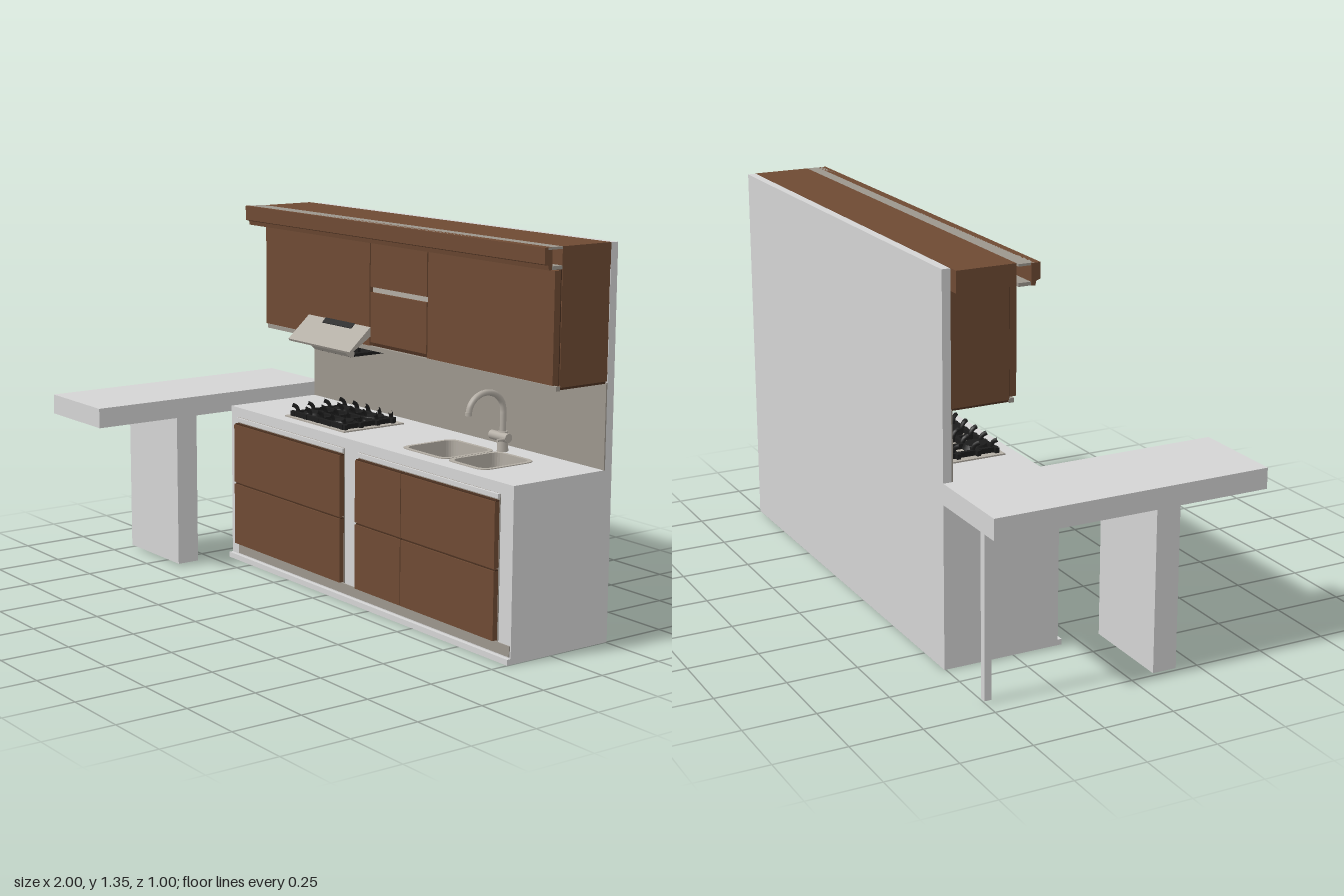
import * as THREE from 'three';

const mat = (name, color) => {
  const m = new THREE.MeshStandardMaterial({ color });
  m.name = name;
  return m;
};

export function createModel() {
  const root = new THREE.Group();
  root.name = 'kitchen';
  const white = mat('white', 0xd4d4d4);
  const brown = mat('brown wood', 0x6e4a33);
  const darkBrown = mat('dark wood', 0x4a3020);
  const taupe = mat('taupe', 0x9c968d);
  const steel = mat('steel', 0xb2aca3);
  const black = mat('black iron', 0x1c1c1c);

  const add = (name, geo, material, parent = root) => {
    const m = new THREE.Mesh(geo, material);
    m.name = name;
    parent.add(m);
    return m;
  };
  // Box given by its limits on each axis
  const box = (name, material, x0, x1, y0, y1, z0, z1, parent) => {
    const m = add(name, new THREE.BoxGeometry(x1 - x0, y1 - y0, z1 - z0), material, parent);
    m.position.set((x0 + x1) / 2, (y0 + y1) / 2, (z0 + z1) / 2);
    return m;
  };
  // Rounded rectangle in plan, drawn with shape y = -z
  const roundRect = (x0, x1, z0, z1, r, S = THREE.Path) => {
    const a = -z1, b = -z0, p = new S();
    p.moveTo(x0 + r, a).lineTo(x1 - r, a).quadraticCurveTo(x1, a, x1, a + r);
    p.lineTo(x1, b - r).quadraticCurveTo(x1, b, x1 - r, b);
    p.lineTo(x0 + r, b).quadraticCurveTo(x0, b, x0, b - r);
    p.lineTo(x0, a + r).quadraticCurveTo(x0, a, x0 + r, a);
    return p;
  };
  // Plan shape raised from y0 to y1
  const slab = (name, material, shape, y0, y1) => {
    const g = new THREE.ExtrudeGeometry(shape, { depth: y1 - y0, bevelEnabled: false, curveSegments: 6 });
    g.rotateX(-Math.PI / 2);
    add(name, g, material).position.y = y0;
  };
  // Side profile of [z, y] points extruded along x
  const profile = (name, material, pts, x0, x1) => {
    const s = new THREE.Shape(pts.map(([z, y]) => new THREE.Vector2(-z, y)));
    const g = new THREE.ExtrudeGeometry(s, { depth: x1 - x0, bevelEnabled: false });
    g.rotateY(Math.PI / 2);
    add(name, g, material).position.x = x0;
  };

  // Wall and backsplash
  box('backWall', white, -0.65, 1, 0, 1.352, -0.505, -0.475);
  box('backsplash', taupe, -0.65, 1, 0.597, 0.89, -0.475, -0.47);

  // Base cabinet with sink cut-outs in the worktop
  box('baseCabinet', white, -0.65, 1, 0, 0.47, -0.475, -0.08);
  box('plinthLip', white, -0.65, 1, 0, 0.02, -0.08, -0.065);
  box('kickStrip', taupe, -0.6, 0.995, 0.025, 0.062, -0.08, -0.076);
  const basins = [[0.33, 0.565], [0.58, 0.77]];
  const top = new THREE.Shape();
  top.moveTo(-0.65, 0.08).lineTo(1, 0.08).lineTo(1, 0.475).lineTo(-0.65, 0.475);
  basins.forEach(([a, b]) => top.holes.push(roundRect(a, b, -0.37, -0.145, 0.04)));
  slab('worktop', white, top, 0.47, 0.597);
  basins.forEach(([a, b]) => {
    const rim = roundRect(a - 0.006, b + 0.006, -0.376, -0.139, 0.045, THREE.Shape);
    rim.holes.push(roundRect(a + 0.008, b - 0.008, -0.362, -0.153, 0.038));
    slab('sinkBasin', steel, rim, 0.475, 0.6);
    slab('sinkFloor', steel, roundRect(a, b, -0.37, -0.145, 0.04, THREE.Shape), 0.471, 0.48);
    const drain = add('drain', new THREE.CylinderGeometry(0.018, 0.018, 0.004, 16), taupe);
    drain.position.set((a + b) / 2, 0.482, -0.26);
  });

  // Drawer fronts
  [[-0.6, 0.088, []], [0.175, 0.937, [0.44]]].forEach(([x0, x1, splits]) => {
    box('drawerFrame', taupe, x0, x1, 0.064, 0.56, -0.08, -0.076);
    box('frameTop', white, x0, x1, 0.545, 0.56, -0.08, -0.068);
    const xs = [x0, ...splits, x1];
    for (let i = 0; i < xs.length - 1; i++) {
      [[0.068, 0.303], [0.311, 0.535]].forEach(([y0, y1]) => {
        box('drawerFront', brown, xs[i] + 0.002, xs[i + 1] - 0.002, y0, y1, -0.078, -0.057);
        box('drawerPull', darkBrown, xs[i] + 0.002, xs[i + 1] - 0.002, y1, y1 + 0.004, -0.078, -0.062);
      });
    }
  });

  // Side table with panel leg and thin post
  box('tableTop', white, -1, -0.65, 0.577, 0.65, -0.505, 0.5);
  box('tableLeg', white, -1, -0.65, 0.008, 0.577, 0.08, 0.167);
  box('tablePost', white, -0.93, -0.905, 0.008, 0.577, -0.502, -0.477);

  // Wall cabinet
  box('wallCabinet', brown, -0.65, 0.998, 0.895, 1.28, -0.475, -0.268);
  box('cabinetFloor', darkBrown, -0.645, 0.995, 0.887, 0.895, -0.47, -0.268);
  box('lowerRail', taupe, -0.65, 1, 0.885, 0.9, -0.268, -0.25);
  box('doorGap', darkBrown, -0.645, 0.995, 0.9, 1.278, -0.268, -0.264);
  box('middleRail', steel, 0.02, 0.342, 1.098, 1.118, -0.264, -0.25);
  [[-0.645, 0.014, 0.904, 1.275], [0.02, 0.342, 0.918, 1.098],
    [0.02, 0.342, 1.118, 1.275], [0.348, 0.994, 0.904, 1.275]].forEach(([a, b, c, d]) =>
    box('cabinetDoor', brown, a, b, c, d, -0.264, -0.24));

  // Cornice: solid rear box and a hollow front valance
  box('corniceBox', brown, -0.69, 1, 1.28, 1.353, -0.475, -0.265);
  box('corniceTop', taupe, -0.705, 1, 1.345, 1.353, -0.265, -0.205);
  box('corniceBottom', taupe, -0.705, 1, 1.28, 1.292, -0.265, -0.22);
  profile('corniceFront', brown,
    [[-0.222, 1.28], [-0.208, 1.28], [-0.205, 1.295], [-0.19, 1.3], [-0.19, 1.353], [-0.222, 1.353]], -0.71, 1);

  // Extractor hood
  profile('hoodPanel', steel,
    [[-0.145, 0.89], [-0.15, 0.882], [-0.25, 0.945], [-0.25, 0.972], [-0.238, 0.972]], -0.36, 0.022);
  profile('hoodSlot', black,
    [[-0.2205, 0.9585], [-0.2205, 0.9545], [-0.2365, 0.969], [-0.237, 0.9745]], -0.25, -0.07);
  profile('hoodLip', steel,
    [[-0.165, 0.892], [-0.172, 0.896], [-0.23, 0.87], [-0.225, 0.852], [-0.205, 0.856]], -0.275, -0.06);
  box('hoodFilter', black, -0.27, -0.065, 0.853, 0.864, -0.39, -0.215);
  box('hoodHanger', black, -0.25, -0.085, 0.864, 0.888, -0.275, -0.262);

  // Cooktop with burners, grates and curved prongs
  const hob = new THREE.Group();
  hob.name = 'cooktop';
  root.add(hob);
  box('hobPlate', steel, -0.36, 0.015, 0.597, 0.602, -0.4, -0.128, hob);
  const xs = [-0.325, -0.245, -0.17, -0.095, -0.02];
  const zs = [-0.15, -0.22, -0.295, -0.365];
  xs.forEach(x => box('grateBar', black, x - 0.007, x + 0.007, 0.602, 0.62, -0.385, -0.14, hob));
  zs.forEach(z => box('grateBar', black, -0.345, 0, 0.602, 0.62, z - 0.007, z + 0.007, hob));
  for (const x of [-0.265, -0.08]) {
    for (const z of [-0.195, -0.33]) {
      const cap = add('burner', new THREE.CylinderGeometry(0.038, 0.046, 0.018, 20), black, hob);
      cap.position.set(x, 0.613, z);
    }
  }
  const prong = new THREE.TubeGeometry(new THREE.CatmullRomCurve3([
    new THREE.Vector3(0, 0, -0.012), new THREE.Vector3(0, 0.018, -0.012),
    new THREE.Vector3(0, 0.033, -0.003), new THREE.Vector3(0, 0.038, 0.01)]), 6, 0.008, 6);
  xs.forEach((x, i) => zs.forEach((z, j) => {
    const p = add('prong', prong, black, hob);
    p.position.set(x, 0.606, z);
    p.rotation.y = (i - 2) * 0.3 + (j % 2) * 0.2;
  }));

  // Tap with arched spout
  const tap = new THREE.Group();
  tap.name = 'tap';
  tap.position.set(0.575, 0.597, -0.395);
  root.add(tap);
  const pts = [new THREE.Vector3(0, 0.03, 0), new THREE.Vector3(0, 0.13, 0)];
  for (let i = 0; i <= 8; i++) {
    const a = Math.PI * i / 8;
    pts.push(new THREE.Vector3(0, 0.145 + 0.068 * Math.sin(a), 0.077 - 0.077 * Math.cos(a)));
  }
  add('spout', new THREE.TubeGeometry(new THREE.CatmullRomCurve3(pts), 32, 0.011, 10), steel, tap);
  add('spoutTip', new THREE.CylinderGeometry(0.012, 0.012, 0.012, 12), steel, tap).position.set(0, 0.147, 0.154);
  add('tapBase', new THREE.CylinderGeometry(0.017, 0.02, 0.07, 16), steel, tap).position.y = 0.035;
  const valve = add('tapValve', new THREE.CylinderGeometry(0.016, 0.016, 0.09, 16), steel, tap);
  valve.rotation.z = Math.PI / 2;
  valve.position.set(0, 0.053, 0.012);
  const lever = add('tapLever', new THREE.CylinderGeometry(0.005, 0.006, 0.05, 8), steel, tap);
  lever.rotation.x = Math.PI / 2;
  lever.position.set(0.038, 0.05, 0.032);

  return root;
}
